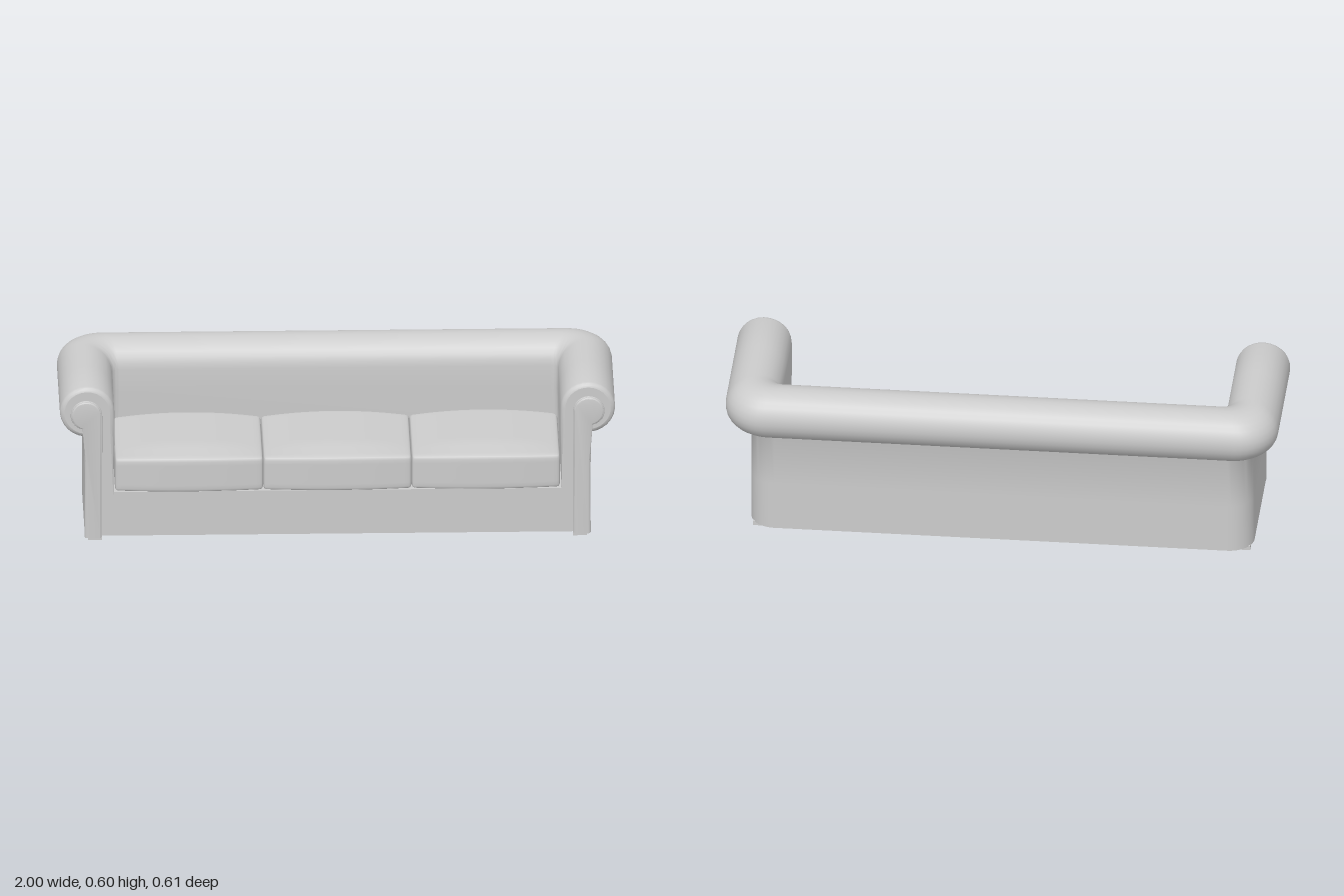
import * as THREE from 'three';
import { mergeVertices, toCreasedNormals } from 'three/addons/utils/BufferGeometryUtils.js';

const V2 = (x, y) => new THREE.Vector2(x, y);
const HALF_W = 0.91, BACK = 0.215, FRONT = 0.292;

// Cross-section of arm and back: u points outward from the outer wall, y is up
function rollProfile() {
  const pts = [V2(0, 0.015), V2(0, 0.2), V2(0, 0.4)];
  for (let i = 0; i <= 20; i++) {
    const a = THREE.MathUtils.degToRad(-84 + (i / 20) * 264);
    pts.push(V2(-0.008 + 0.098 * Math.cos(a), 0.502 + 0.097 * Math.sin(a)));
  }
  pts.push(V2(-0.107, 0.42), V2(-0.102, 0.18), V2(-0.06, 0.18), V2(-0.06, 0.015));
  return pts;
}

// Shrinks the upper part of the profile, for the softened arm ends
function insetProfile(pts, d) {
  const n = pts.length;
  return pts.map((p, i) => {
    if (p.y < 0.3) return p.clone();
    const t = pts[(i + 1) % n].clone().sub(pts[(i + n - 1) % n]).normalize();
    return V2(p.x - t.y * d, p.y + t.x * d);
  });
}

// The profile swept around a U-shaped plan: left arm, back, right arm
function shellGeometry(profile) {
  const ends = [[FRONT, 0.016], [0.289, 0.007], [0.283, 0.002], [0.274, 0], [0.08, 0]];
  const half = ends.map(([z, d]) => insetProfile(profile, d).map(p => [HALF_W + p.x, p.y, z]));
  for (let k = 0; k <= 10; k++) {
    const a = (k / 10) * Math.PI / 2;
    half.push(profile.map(p => {
      const r = Math.max(0.01, 0.09 + 0.6 * p.x);
      return [HALF_W + p.x - r + r * Math.cos(a), p.y, -BACK - p.x + r - r * Math.sin(a)];
    }));
  }
  const mirrored = half.map(ring => ring.map(([x, y, z]) => [-x, y, z])).reverse();
  const rings = [...half, ...mirrored];
  const n = profile.length, index = [];
  for (let i = 0; i < rings.length - 1; i++) {
    for (let j = 0; j < n; j++) {
      const a = i * n + j, b = i * n + (j + 1) % n;
      index.push(a, a + n, b, b, a + n, b + n);
    }
  }
  const g = new THREE.BufferGeometry();
  g.setAttribute('position', new THREE.Float32BufferAttribute(rings.flat(2), 3));
  g.setIndex(index);
  return toCreasedNormals(g, 0.7);
}

// Soft block with rounded edges, crowned top and bulging front
function cushionGeometry(w, h, d) {
  const g0 = new THREE.BoxGeometry(2, 2, 2, 22, 10, 18);
  g0.deleteAttribute('uv');
  g0.deleteAttribute('normal');
  const g = mergeVertices(g0);
  const pos = g.attributes.position, size = [w / 2, h / 2, d / 2], radius = 0.013;
  const v = new THREE.Vector3(), core = new THREE.Vector3();
  const lim = new THREE.Vector3(...size).subScalar(radius);
  for (let i = 0; i < pos.count; i++) {
    v.fromBufferAttribute(pos, i);
    // crowd grid lines toward the edges, then round the edges
    v.set(...v.toArray().map((c, k) => size[k] * Math.sin(c * Math.PI / 2)));
    core.copy(v).clamp(lim.clone().negate(), lim);
    const off = v.clone().sub(core);
    if (off.length() > radius) v.copy(core).add(off.setLength(radius));
    const across = 1 - (v.x / size[0]) ** 2, along = v.z / size[2];
    const up = v.y / size[1] * 0.5 + 0.5;
    v.y += up * across * 0.02 * Math.min(1, 0.25 + 1.5 * (1 - along));
    v.z += Math.max(0, along) * across * 0.016;
    pos.setXYZ(i, v.x, v.y, v.z);
  }
  g.computeVertexNormals();
  return g;
}

// Keyhole outline of the arm front: narrow stem with a round head
function keyhole(side, grow) {
  const pts = [V2(0.908 + grow, 0.015), V2(0.908 + grow, 0.3)];
  for (let i = 0; i <= 18; i++) {
    const a = THREE.MathUtils.degToRad(-78 + (i / 18) * 258);
    const r = 0.053 + grow;
    pts.push(V2(0.905 + r * Math.cos(a), 0.494 + r * Math.sin(a)));
  }
  pts.push(V2(0.852 - grow, 0.3), V2(0.852 - grow, 0.015));
  return pts.map(p => V2(p.x * side, p.y));
}

export function createModel() {
  const group = new THREE.Group();
  const mat = new THREE.MeshStandardMaterial({ color: 0xcccccc });
  const add = (name, geometry, x = 0, y = 0, z = 0) => {
    const m = new THREE.Mesh(geometry, mat);
    m.name = name;
    m.position.set(x, y, z);
    group.add(m);
    return m;
  };

  // Arms and back
  const profile = rollProfile();
  add('armsAndBack', shellGeometry(profile));

  // Base under the seat
  add('base', new THREE.BoxGeometry(1.704, 0.17, 0.432), 0, 0.1, 0.058);

  // Three seat cushions
  const w = 1.604 / 3;
  for (const i of [-1, 0, 1]) {
    add('seatCushion', cushionGeometry(w - 0.001, 0.126, 0.4), i * w, 0.25, 0.075);
  }

  const endCap = insetProfile(profile, 0.016);
  for (const side of [1, -1]) {
    const name = side > 0 ? 'left' : 'right';

    // Flat end of the arm
    const cap = new THREE.Shape(endCap.map(p => V2(side * (HALF_W + p.x), p.y)));
    add(name + 'ArmEnd', new THREE.ShapeGeometry(cap), 0, 0, FRONT);

    // Front panel, leaning forward slightly toward the top
    const panel = new THREE.ExtrudeGeometry(new THREE.Shape(keyhole(side, -0.004)), {
      depth: 0.012, bevelEnabled: true, bevelThickness: 0.004, bevelSize: 0.004, bevelSegments: 3,
    });
    panel.translate(0, 0, 0.278);
    const pos = panel.attributes.position;
    for (let i = 0; i < pos.count; i++) {
      pos.setY(i, Math.max(0.015, pos.getY(i)));
      pos.setZ(i, pos.getZ(i) + 0.02 * pos.getY(i));
    }
    add(name + 'ArmPanel', toCreasedNormals(panel, 0.7));

    // Piping around the panel
    const path = new THREE.CatmullRomCurve3(
      keyhole(side, 0).map(p => new THREE.Vector3(p.x, Math.max(p.y, 0.018), 0.289 + 0.012 * p.y)),
      false, 'centripetal');
    add(name + 'ArmPiping', new THREE.TubeGeometry(path, 90, 0.004, 6));

    // Feet
    for (const z of [0.246, -0.148]) {
      add(name + 'Foot', new THREE.BoxGeometry(0.05, 0.018, 0.06), side * 0.874, 0.009, z);
    }
  }
  return group;
}
